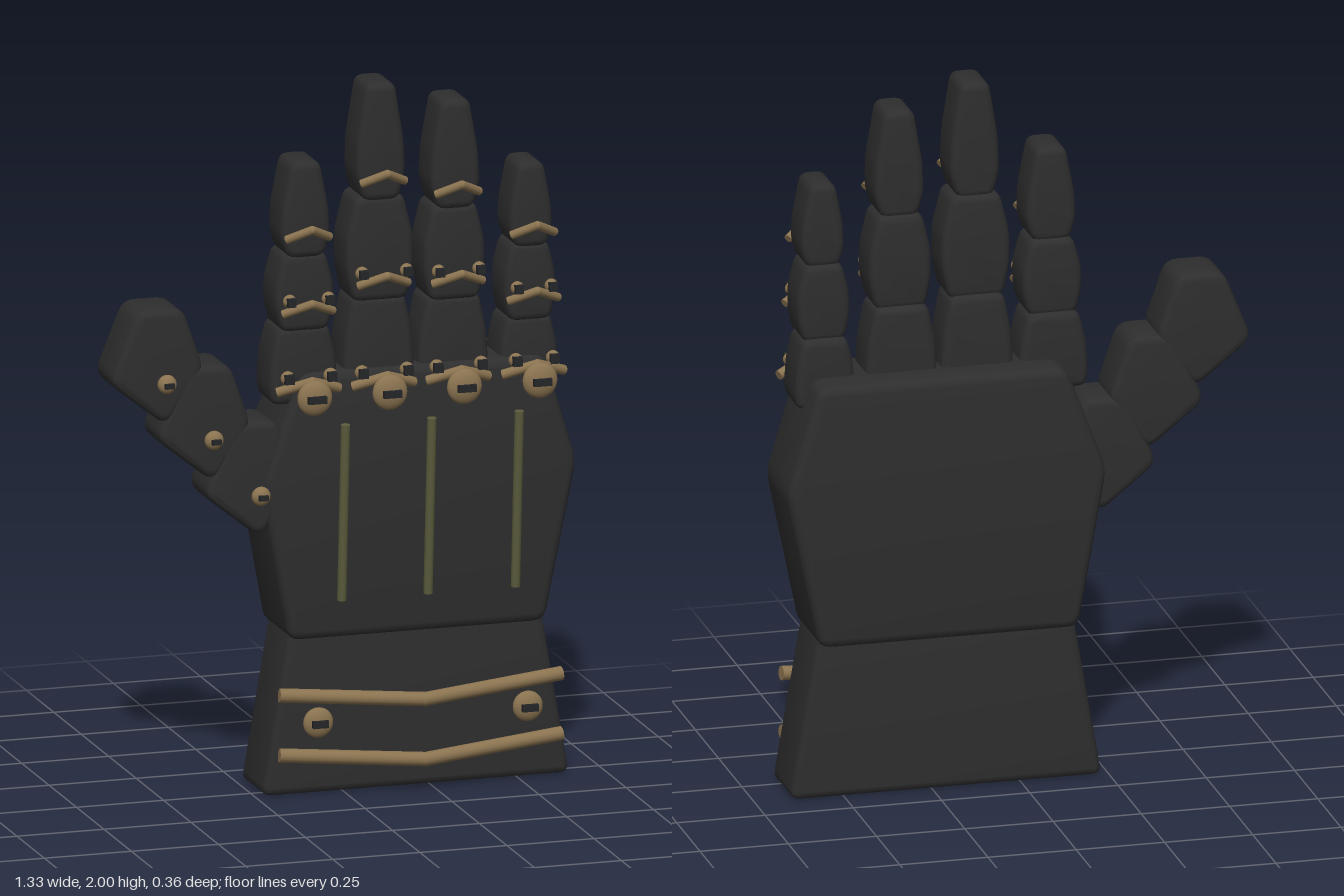
import * as THREE from 'three';
import { toCreasedNormals } from 'three/addons/utils/BufferGeometryUtils.js';

const mat = (name, color) => {
  const m = new THREE.MeshStandardMaterial({ color });
  m.name = name;
  return m;
};

export function createModel() {
  const dark = mat('charcoal', 0x2e2e2e);
  const brass = mat('brass', 0x8a7350);
  const olive = mat('olive', 0x5a5b3c);
  const slotMat = mat('slot black', 0x242528);
  const root = new THREE.Group();
  root.name = 'gauntlet';

  const add = (parent, name, geometry, material, x = 0, y = 0, z = 0) => {
    const mesh = new THREE.Mesh(geometry, material);
    mesh.name = name;
    mesh.position.set(x, y, z);
    parent.add(mesh);
    return mesh;
  };

  // Polygon outline with rounded corners, extruded from z0 to z1 with soft edges
  const slab = (points, z0, z1, bevel = 0.02, round = 0.03) => {
    const p = points.map(([x, y]) => new THREE.Vector2(x, y));
    const shape = new THREE.Shape();
    p.forEach((c, i) => {
      const toward = (q) => {
        const d = q.clone().sub(c);
        return c.clone().addScaledVector(d.clone().normalize(), Math.min(round, d.length() * 0.4));
      };
      const a = toward(p[(i + p.length - 1) % p.length]);
      const b = toward(p[(i + 1) % p.length]);
      if (i === 0) shape.moveTo(a.x, a.y);
      else shape.lineTo(a.x, a.y);
      shape.quadraticCurveTo(c.x, c.y, b.x, b.y);
    });
    shape.closePath();
    const geo = new THREE.ExtrudeGeometry(shape, {
      depth: z1 - z0 - 2 * bevel, curveSegments: 4, bevelEnabled: true, bevelThickness: bevel,
      bevelSize: bevel, bevelOffset: -bevel, bevelSegments: 3,
    });
    geo.translate(0, 0, z0 + bevel);
    return toCreasedNormals(geo, 0.6);
  };

  // Bent rod: two straight capped cylinders meeting at a raised middle
  const rod = (parent, name, a, b, radius, material) => {
    const from = new THREE.Vector3(...a), to = new THREE.Vector3(...b);
    const dir = to.clone().sub(from);
    const mesh = add(parent, name, new THREE.CylinderGeometry(radius, radius, dir.length(), 16), material);
    mesh.position.copy(from).add(to).multiplyScalar(0.5);
    mesh.quaternion.setFromUnitVectors(new THREE.Vector3(0, 1, 0), dir.normalize());
  };
  const chevron = (parent, name, x, half, yMid, yEnd, zMid, zEnd, radius) => {
    const g = new THREE.Group();
    g.name = name;
    for (const s of [-1, 1]) {
      rod(g, name + 'Arm', [x, yMid, zMid], [x + s * half, yEnd, zEnd], radius, brass);
    }
    add(g, name + 'Bend', new THREE.SphereGeometry(radius, 14, 10), brass, x, yMid, zMid);
    parent.add(g);
  };

  // Domed rivet with a dark slot on its face
  const rivet = (parent, name, x, y, z, r, depth, slotW, slotH) => {
    const g = new THREE.Group();
    g.name = name;
    g.position.set(x, y, z);
    add(g, 'rivetHead', new THREE.SphereGeometry(r, 24, 14).scale(1, 1, depth / r), brass);
    add(g, 'rivetSlot', new THREE.BoxGeometry(slotW, slotH, 0.016), slotMat, 0, 0, depth + 0.002);
    parent.add(g);
  };

  // Cuff and palm
  add(root, 'cuff', slab([[-0.232, 0], [0.652, 0], [0.57, 0.48], [-0.15, 0.48]], -0.155, 0.055), dark);
  add(root, 'palm', slab([
    [-0.16, 0.44], [0.575, 0.44], [0.667, 0.89], [0.575, 1.195], [-0.125, 1.195], [-0.24, 0.89],
  ], -0.183, 0.077, 0.025, 0.035), dark);

  // Cuff trim
  chevron(root, 'upperCuffBand', 0.213, 0.405, 0.262, 0.292, 0.125, 0.078, 0.02);
  chevron(root, 'lowerCuffBand', 0.213, 0.405, 0.092, 0.122, 0.125, 0.078, 0.02);
  for (const x of [-0.09, 0.512]) rivet(root, 'cuffRivet', x, 0.215, 0.108, 0.043, 0.02, 0.045, 0.02);

  // Tendon bars on the back of the hand
  for (const x of [-0.026, 0.222, 0.473]) {
    rod(root, 'tendonBar', [x, 0.56, 0.12], [x, 1.065, 0.155], 0.013, olive);
  }

  // Fingers: joint heights from tip to base, half widths, brace heights
  const fingers = [
    { name: 'indexFinger', x: -0.112, y: [1.795, 1.535, 1.325, 1.105], w: [0.071, 0.084, 0.099], brace: [1.615, 1.405] },
    { name: 'middleFinger', x: 0.104, y: [2.0, 1.68, 1.395, 1.105], w: [0.071, 0.097, 0.104], brace: [1.757, 1.468] },
    { name: 'ringFinger', x: 0.318, y: [1.937, 1.64, 1.38, 1.105], w: [0.071, 0.088, 0.103], brace: [1.71, 1.457] },
    { name: 'littleFinger', x: 0.535, y: [1.743, 1.515, 1.305, 1.105], w: [0.062, 0.074, 0.086], brace: [1.578, 1.392] },
  ];
  const depths = [[-0.065, 0.076], [-0.076, 0.066], [-0.092, 0.056]];
  // Rows of [half width factor, height factor] for tip, middle and base segments
  const outlines = [
    [[0.72, 0], [1, 0.22], [0.95, 0.5], [0.57, 1]],
    [[0.8, 0], [1, 0.3], [1, 0.6], [0.7, 1]],
    [[0.9, 0], [1, 0.2], [0.94, 0.6], [0.72, 1]],
  ];
  for (const f of fingers) {
    const g = new THREE.Group();
    g.name = f.name;
    g.position.x = f.x;
    root.add(g);
    outlines.forEach((rows, i) => {
      const lo = f.y[i + 1] - (i < 2 ? 0.012 : 0), h = f.y[i] - lo;
      const rightSide = rows.map(([w, t]) => [w * f.w[i], lo + t * h]);
      const leftSide = rows.map(([w, t]) => [-w * f.w[i], lo + t * h]).reverse();
      add(g, ['tipSegment', 'middleSegment', 'baseSegment'][i], slab([...rightSide, ...leftSide], ...depths[i], 0.02, 0.025), dark);
    });
    chevron(g, 'tipBrace', 0, 0.062, f.brace[0], f.brace[0] - 0.033, 0.125, 0.085, 0.012);
    chevron(g, 'jointBrace', 0, 0.072, f.brace[1], f.brace[1] - 0.033, 0.125, 0.085, 0.012);
    chevron(g, 'knuckleBrace', 0, 0.088, 1.185, 1.152, 0.125, 0.085, 0.014);
    for (const s of [-1, 1]) {
      rivet(g, 'jointRivet', s * f.w[1] * 0.66, f.brace[1] + 0.005, 0.095, 0.019, 0.015, 0.024, 0.024);
      rivet(g, 'knuckleRivet', s * f.w[2] * 0.62, 1.193, 0.095, 0.02, 0.015, 0.026, 0.026);
    }
    rivet(g, 'knuckleBoss', 0, 1.145, 0.147, 0.05, 0.022, 0.052, 0.02);
  }

  // Thumb: one segment stepped down towards the palm
  const thumb = new THREE.Group();
  thumb.name = 'thumb';
  root.add(thumb);
  const thumbGeo = slab([
    [-0.51, 1.075], [-0.4, 1.225], [-0.462, 1.405], [-0.592, 1.405], [-0.673, 1.205],
  ], -0.098, 0.068, 0.02, 0.035);
  for (let i = 0; i < 3; i++) {
    add(thumb, 'thumbSegment', thumbGeo, dark, i * 0.135, i * -0.169, 0);
    rivet(thumb, 'thumbRivet', -0.52 + i * 0.135, 1.203 - i * 0.169, 0.096, 0.027, 0.02, 0.026, 0.014);
  }
  return root;
}
